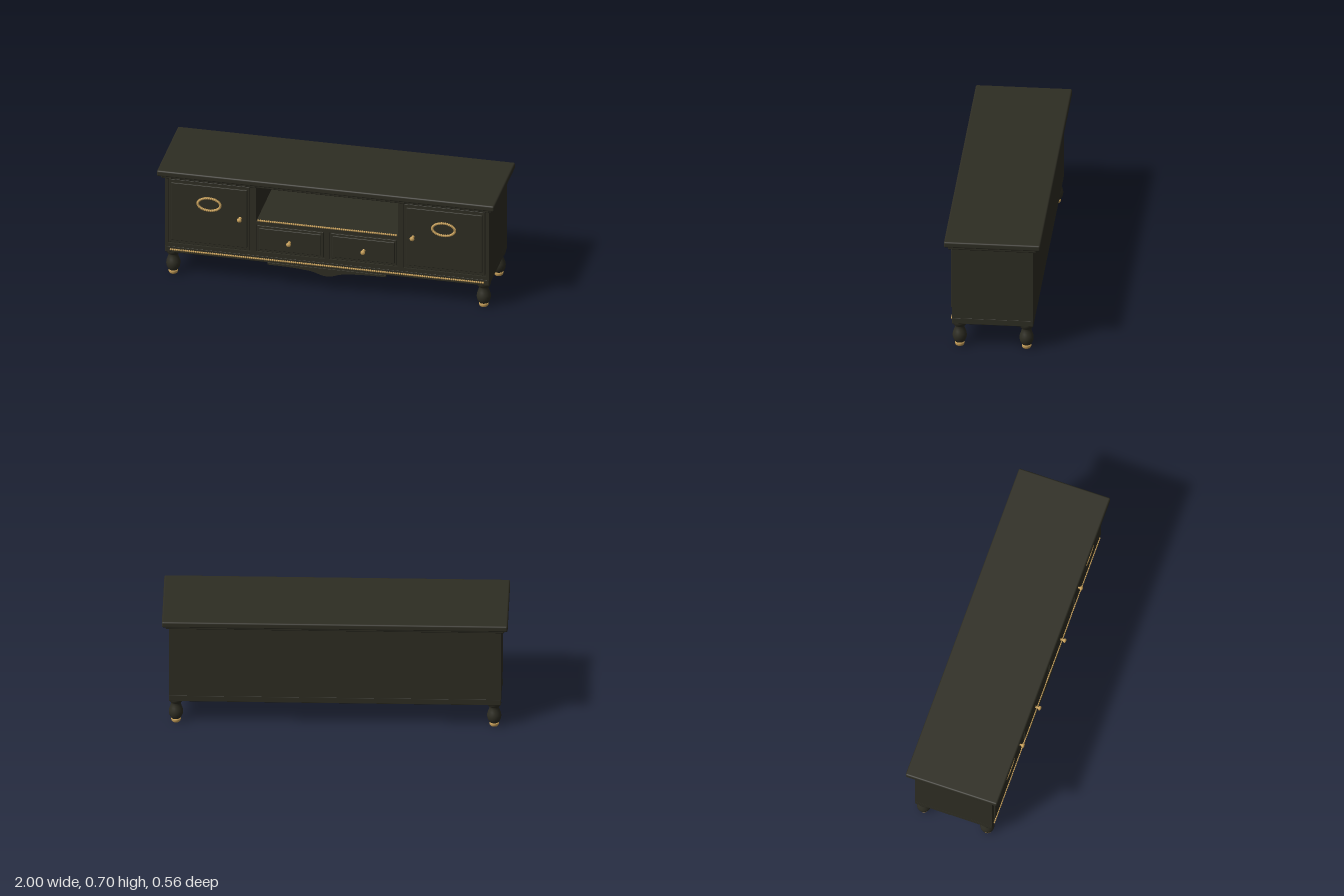
import * as THREE from 'three';
import { mergeGeometries } from 'three/addons/utils/BufferGeometryUtils.js';
import { RoundedBoxGeometry } from 'three/addons/geometries/RoundedBoxGeometry.js';

const paint = new THREE.MeshStandardMaterial({ color: 0x2e2d23 });
paint.name = 'dark painted wood';
const gold = new THREE.MeshStandardMaterial({ color: 0xc8a05a });
gold.name = 'antique gold';

export function createModel() {
  const model = new THREE.Group();
  model.name = 'mediaCabinet';

  const add = (name, geometry, material = paint) => {
    const mesh = new THREE.Mesh(geometry, material);
    mesh.name = name;
    model.add(mesh);
    return mesh;
  };

  // Box given by its limits on each axis, with optional rounded edges
  const slab = (name, [x0, x1], [y0, y1], [z0, z1], round = 0) => {
    const size = [x1 - x0, y1 - y0, z1 - z0];
    const geometry = round
      ? new RoundedBoxGeometry(...size, 3, round)
      : new THREE.BoxGeometry(...size);
    geometry.translate((x0 + x1) / 2, (y0 + y1) / 2, (z0 + z1) / 2);
    return add(name, geometry);
  };

  // Row of small gold beads along a list of points
  const beads = (name, points, radius) => {
    const parts = points.map(p => new THREE.SphereGeometry(radius, 8, 6).translate(p.x, p.y, p.z));
    return add(name, mergeGeometries(parts), gold);
  };
  const beadRow = (name, half, y, z, radius) => {
    const count = Math.round(2 * half / (radius * 1.9));
    const points = [];
    for (let i = 0; i <= count; i++) {
      points.push(new THREE.Vector3(-half + 2 * half * i / count, y, z));
    }
    return beads(name, points, radius);
  };

  const lathe = (points, segments) =>
    new THREE.LatheGeometry(points.map(([r, y]) => new THREE.Vector2(r, y)), segments);

  // Top board, moulding and plinth
  slab('topBoard', [-1, 1], [0.663, 0.7], [-0.28, 0.28], 0.01);
  slab('topMoulding', [-0.98, 0.98], [0.642, 0.664], [-0.258, 0.258], 0.008);
  slab('plinth', [-0.96, 0.96], [0.152, 0.191], [-0.236, 0.236], 0.004);

  // Carcass around the open niche
  slab('backPanel', [-0.43, 0.43], [0.19, 0.645], [-0.236, -0.216]);
  slab('drawerCase', [-0.43, 0.43], [0.19, 0.413], [-0.216, 0.226]);
  slab('nicheCeiling', [-0.43, 0.43], [0.638, 0.645], [-0.216, 0.226]);

  // Face frame with openings for doors, drawers and niche
  const rect = (path, x0, x1, y0, y1) => {
    path.moveTo(x0, y0);
    path.lineTo(x1, y0);
    path.lineTo(x1, y1);
    path.lineTo(x0, y1);
    path.closePath();
    return path;
  };
  const frame = rect(new THREE.Shape(), -0.96, 0.96, 0.19, 0.645);
  const openings = [
    [-0.942, -0.452, 0.212, 0.638], [0.452, 0.942, 0.212, 0.638],
    [-0.418, -0.016, 0.216, 0.392], [0.016, 0.418, 0.216, 0.392],
    [-0.42, 0.42, 0.413, 0.638],
  ];
  for (const o of openings) frame.holes.push(rect(new THREE.Path(), ...o));
  const frameGeometry = new THREE.ExtrudeGeometry(frame, { depth: 0.01, bevelEnabled: false });
  add('faceFrame', frameGeometry.translate(0, 0, 0.226));

  // Turned knob pointing forward
  const knobProfile = [[0.01, 0], [0.006, 0.004], [0.005, 0.014], [0.009, 0.018],
    [0.0135, 0.023], [0.014, 0.028], [0.01, 0.033], [0, 0.035]];
  const knob = (name, x, y) => {
    add(name, lathe(knobProfile, 18).rotateX(Math.PI / 2), gold).position.set(x, y, 0.245);
  };

  // Turned leg and its gold foot
  const legProfile = [[0.027, 0.024], [0.033, 0.034], [0.039, 0.048], [0.0415, 0.064],
    [0.04, 0.08], [0.034, 0.097], [0.029, 0.112], [0.027, 0.125], [0.031, 0.13],
    [0.037, 0.135], [0.038, 0.143], [0.041, 0.146], [0.041, 0.154]];
  const footProfile = [[0, 0], [0.022, 0], [0.026, 0.005], [0.028, 0.014], [0.028, 0.025], [0, 0.025]];

  for (const side of [-1, 1]) {
    const label = side > 0 ? 'left' : 'right';
    const span = (a, b) => (side > 0 ? [a, b] : [-b, -a]);

    slab(label + 'Cupboard', span(0.42, 0.96), [0.19, 0.645], [-0.236, 0.226]);

    // Door with raised panel, beaded oval and knob
    slab(label + 'Door', span(0.458, 0.936), [0.218, 0.632], [0.222, 0.236], 0.003);
    slab(label + 'DoorPanel', span(0.472, 0.922), [0.237, 0.613], [0.23, 0.245], 0.004);
    const ring = [];
    for (let i = 0; i < 36; i++) {
      const a = i / 36 * Math.PI * 2;
      ring.push(new THREE.Vector3(side * 0.695 + 0.067 * Math.cos(a), 0.5 + 0.04 * Math.sin(a), 0.253));
    }
    beads(label + 'DoorOval', ring, 0.0078);
    knob(label + 'DoorKnob', side * 0.512, 0.427);

    // Drawer
    slab(label + 'Drawer', span(0.021, 0.413), [0.221, 0.387], [0.222, 0.236], 0.003);
    slab(label + 'DrawerPanel', span(0.034, 0.402), [0.237, 0.375], [0.23, 0.245], 0.004);
    knob(label + 'DrawerKnob', side * 0.22, 0.302);

    // Front and back legs
    for (const end of [-1, 1]) {
      const place = label + (end > 0 ? 'Front' : 'Back');
      add(place + 'Leg', lathe(legProfile, 24)).position.set(side * 0.92, 0, end * 0.194);
      add(place + 'Foot', lathe(footProfile, 24), gold).position.set(side * 0.92, 0, end * 0.194);
    }
  }

  // Gold bead trims
  beadRow('plinthBeads', 0.925, 0.172, 0.238, 0.0065);
  beadRow('shelfBeads', 0.408, 0.418, 0.231, 0.0065);

  // Shaped apron under the plinth
  const apron = new THREE.Shape();
  apron.moveTo(-0.35, 0.154);
  apron.lineTo(-0.35, 0.142);
  apron.bezierCurveTo(-0.27, 0.142, -0.2, 0.142, -0.13, 0.133);
  apron.bezierCurveTo(-0.05, 0.128, -0.05, 0.106, 0, 0.106);
  apron.bezierCurveTo(0.05, 0.106, 0.05, 0.128, 0.13, 0.133);
  apron.bezierCurveTo(0.2, 0.142, 0.27, 0.142, 0.35, 0.142);
  apron.lineTo(0.35, 0.154);
  apron.closePath();
  const apronGeometry = new THREE.ExtrudeGeometry(apron, {
    depth: 0.018, bevelEnabled: true, bevelThickness: 0.002, bevelSize: 0.001, bevelSegments: 1, curveSegments: 12,
  });
  add('apron', apronGeometry.translate(0, 0, 0.223));

  return model;
}
